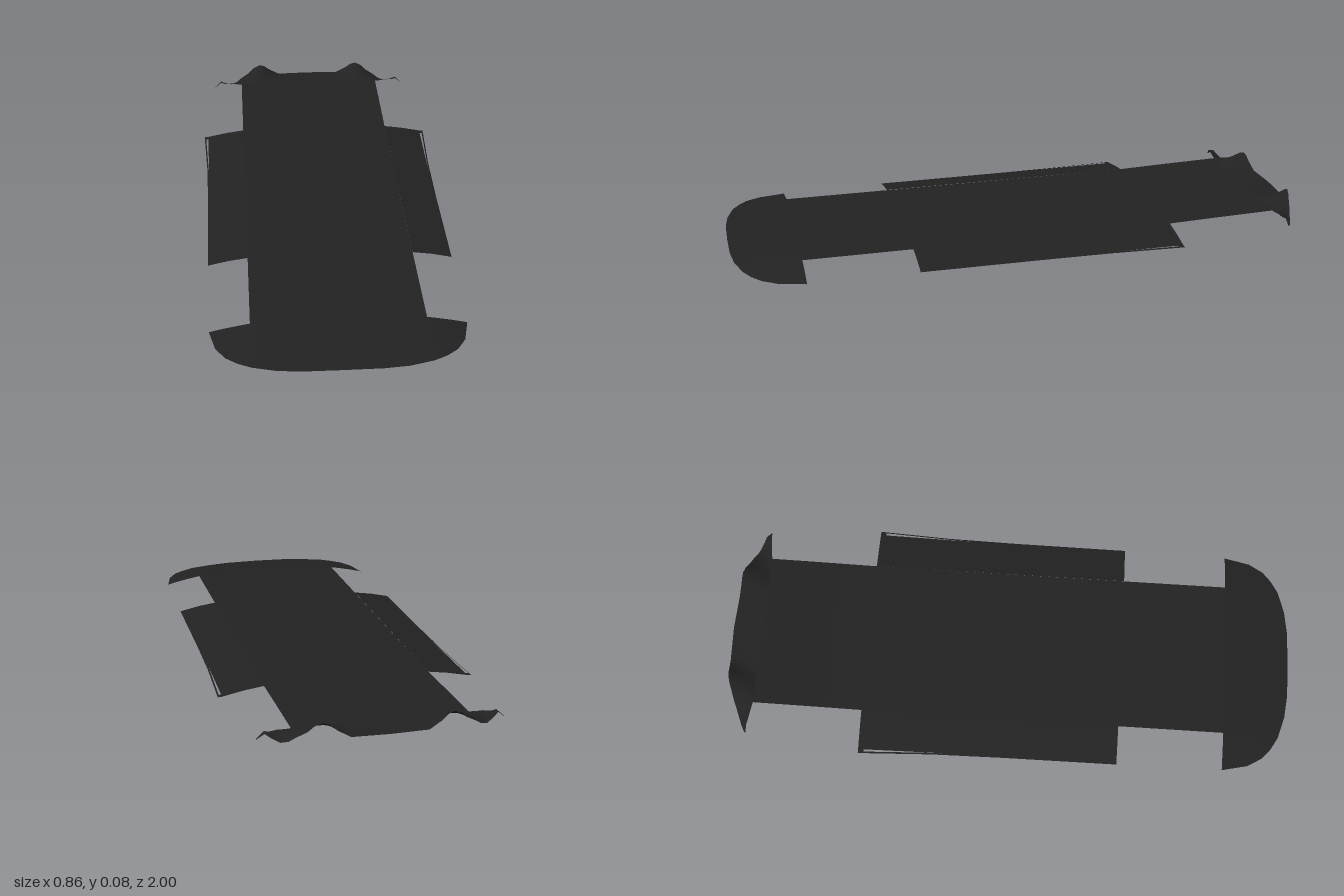
import * as THREE from 'three';

const black = new THREE.MeshStandardMaterial({ color: 0x222222, side: THREE.DoubleSide });
black.name = 'matte black';

// Skin a sheet over rows of [x, y, z] points; rows run back to front, points run toward +x
function loft(name, rows) {
  const n = rows[0].length, index = [];
  for (let r = 0; r < rows.length - 1; r++) {
    for (let i = 0; i < n - 1; i++) {
      const a = r * n + i, b = a + n;
      index.push(a, b, a + 1, a + 1, b, b + 1);
    }
  }
  const g = new THREE.BufferGeometry();
  g.setAttribute('position', new THREE.Float32BufferAttribute(rows.flat(2), 3));
  g.setIndex(index);
  g.computeVertexNormals();
  const mesh = new THREE.Mesh(g, black);
  mesh.name = name;
  return mesh;
}

// Mirror a half row that starts at x = 0
const full = half => [...half.slice(1).reverse().map(([x, y, z]) => [-x, y, z]), ...half];
// Mirror a whole side panel
const flip = rows => rows.map(row => row.map(([x, y, z]) => [-x, y, z]).reverse());
const mix = THREE.MathUtils.lerp;

// Rows blended between an inner and an outer edge
function between(inner, outer, steps) {
  return Array.from({ length: steps + 1 }, (_, s) =>
    full(inner.map((p, i) => p.map((v, k) => mix(v, outer[i][k], s / steps)))));
}

export function createModel() {
  const model = new THREE.Group();
  model.name = 'underbody';

  // Long centre floor, rising slightly to the back
  const floor = [[-0.895, 0.04], [-0.7, 0.035], [-0.51, 0.029], [0.4, 0.028], [0.77, 0.028]];
  model.add(loft('centreFloor', floor.map(([z, y]) => full([[0, y, z], [0.14, y, z], [0.277, y, z]]))));

  // Side floors sloping down to the sills
  const side = [[-0.51, 0.414], [-0.25, 0.41], [0, 0.41], [0.4, 0.408]].map(([z, x]) =>
    [[0.277, 0.029, z], [0.34, 0.02, z], [x, 0.005, z]]);
  model.add(loft('leftSideFloor', side), loft('rightSideFloor', flip(side)));

  // Narrow sill lips, flaring out at the back
  const lip = [[-0.51, 0.428], [-0.25, 0.416], [0, 0.412], [0.4, 0.41]].map(([z, x]) =>
    [[x - 0.005, 0.006, z], [x, 0.003, z]]);
  model.add(loft('leftSillLip', lip), loft('rightSillLip', flip(lip)));
  const bridge = [[0.41, 0.005, -0.51], [0.425, 0.004, -0.51]];
  const bridgeRows = [bridge, bridge.map(([x, y]) => [x, y, -0.49])];
  model.add(loft('leftLipEnd', bridgeRows), loft('rightLipEnd', flip(bridgeRows)));

  // Rounded front apron: [x, inner y, outer y, outer z]
  const nose = [
    [0, 0.028, 0.011, 1], [0.12, 0.028, 0.01, 0.998], [0.2, 0.028, 0.008, 0.988],
    [0.277, 0.028, 0.007, 0.965], [0.32, 0.02, 0.005, 0.94], [0.355, 0.013, 0.004, 0.91],
    [0.385, 0.006, 0.002, 0.86], [0.405, 0.001, 0, 0.771],
  ];
  model.add(loft('frontApron', between(
    nose.map(([x, y]) => [x, y, 0.77]), nose.map(([x, , y, z]) => [x, y, z]), 4)));

  // Rear apron with two raised exhaust arches: [x, inner y, outer y, inner z, outer z]
  const tail = [
    [0, 0.04, 0.037, -0.895, -1], [0.12, 0.04, 0.037, -0.895, -0.995], [0.16, 0.04, 0.06, -0.895, -0.99],
    [0.18, 0.04, 0.077, -0.895, -0.987], [0.2, 0.04, 0.084, -0.895, -0.984], [0.225, 0.04, 0.074, -0.895, -0.978],
    [0.245, 0.04, 0.055, -0.895, -0.972], [0.277, 0.04, 0.037, -0.895, -0.962], [0.297, 0.04, 0.023, -0.898, -0.954],
    [0.32, 0.042, 0.018, -0.901, -0.945], [0.345, 0.04, 0.03, -0.905, -0.933],
    [0.362, 0.044, 0.042, -0.907, -0.925], [0.385, 0.023, 0.022, -0.91, -0.914],
  ];
  model.add(loft('rearApron', between(
    tail.map(([x, , y, , z]) => [x, y, z]), tail.map(([x, y, , z]) => [x, y, z]), 4)));

  return model;
}
